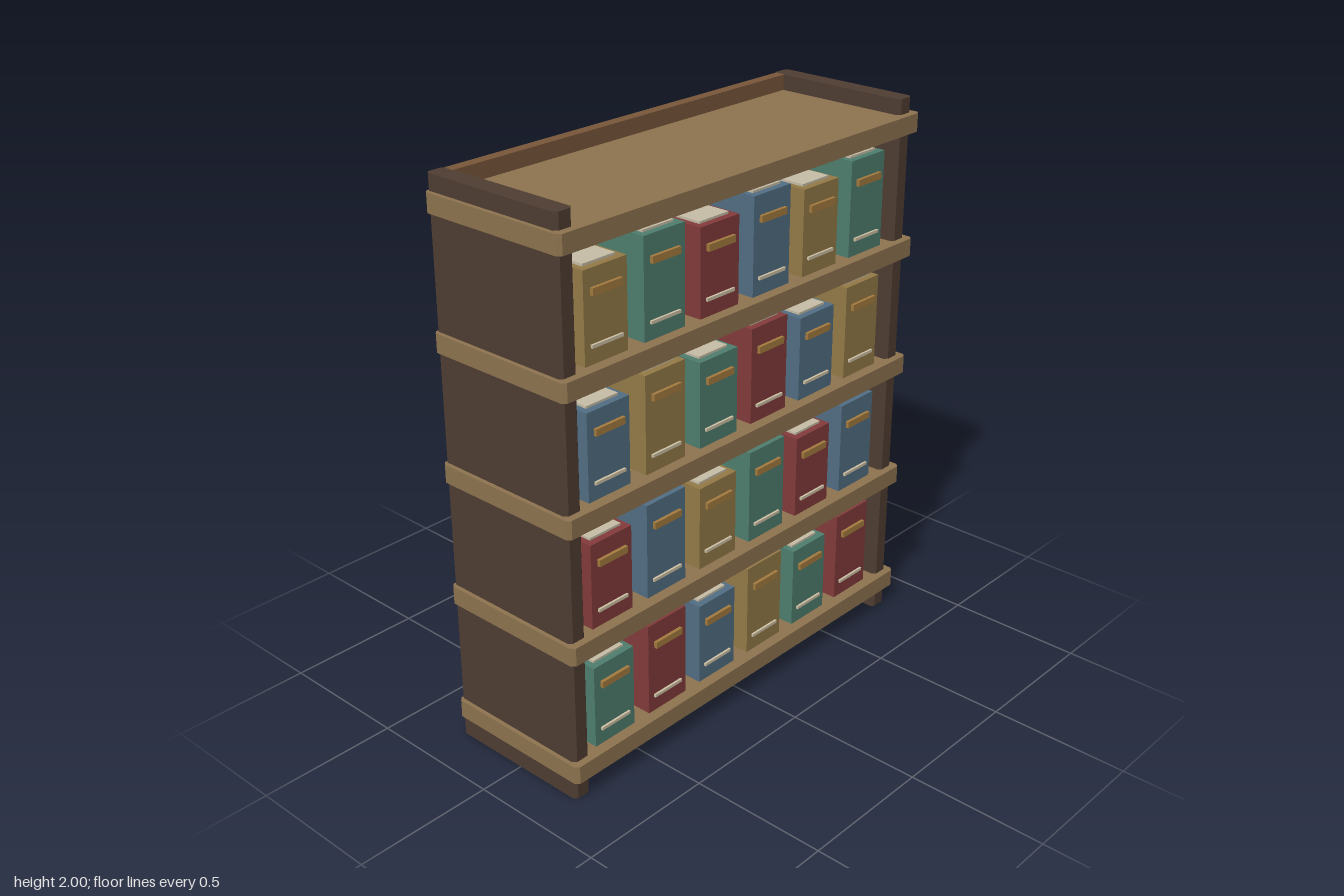
import * as THREE from 'three';

const mat = (color) => new THREE.MeshStandardMaterial({ color, flatShading: true });
const WOOD = mat(0x8f7450), POST = mat(0x4f3e32), PANEL = mat(0x7a583a);
const GOLD = mat(0xa57c3f), PALE = mat(0xcfc3a6), PAGES = mat(0xc9bfa8);
const COVERS = [0x853c3c, 0x527085, 0x967b48, 0x4f7f70].map(mat);

const BOARD_Y = [0.08, 0.53, 0.98, 1.43, 1.88];
const BOARD_H = 0.065;

function add(group, name, geometry, material, x, y, z) {
  const mesh = new THREE.Mesh(geometry, material);
  mesh.name = name;
  mesh.position.set(x, y, z);
  group.add(mesh);
  return mesh;
}

// Board with chamfered vertical edges, standing on its own y = 0
function chamferedBoard(w, h, d, c) {
  const x = w / 2, z = d / 2;
  const outline = new THREE.Shape([
    [x, -z + c], [x, z - c], [x - c, z], [-x + c, z],
    [-x, z - c], [-x, -z + c], [-x + c, -z], [x - c, -z],
  ].map(([a, b]) => new THREE.Vector2(a, b)));
  return new THREE.ExtrudeGeometry(outline, { depth: h, bevelEnabled: false }).rotateX(-Math.PI / 2);
}

// Book with cover, raised page block, title plate and lower band
function makeBook(height, cover) {
  const w = 0.18, d = 0.36, front = 0.25;
  const book = new THREE.Group();
  book.name = 'book';
  add(book, 'cover', new THREE.BoxGeometry(w, height, d), cover, 0, height / 2, front - d / 2);
  add(book, 'pages', new THREE.BoxGeometry(w - 0.045, 0.03, d - 0.05), PAGES, 0, height - 0.007, front - d / 2);
  add(book, 'titlePlate', new THREE.BoxGeometry(0.124, 0.024, 0.02), GOLD, 0, height * 0.765, front + 0.002);
  add(book, 'lowerBand', new THREE.BoxGeometry(0.13, 0.011, 0.016), PALE, 0, 0.06, front);
  return book;
}

export function createModel() {
  const model = new THREE.Group();
  model.name = 'bookcase';

  // Upright sides and back
  for (const s of [-1, 1]) {
    add(model, s > 0 ? 'leftSide' : 'rightSide', chamferedBoard(0.07, 2, 0.553, 0.012), POST, s * 0.8, 0, -0.0135);
  }
  add(model, 'backPanel', new THREE.BoxGeometry(1.54, 2, 0.04), PANEL, 0, 1, -0.264);

  // Shelves run past the sides and the front
  for (const y of BOARD_Y) {
    add(model, 'shelf', chamferedBoard(1.7, BOARD_H, 0.577, 0.013), WOOD, 0, y, 0.0015);
  }

  // Four rows of books, short and tall in turn
  for (let row = 0; row < 4; row++) {
    for (let col = 0; col < 6; col++) {
      const book = makeBook(col % 2 ? 0.34 : 0.302, COVERS[(row + col + 3) % 4]);
      book.position.set(-0.635 + col * 0.251, BOARD_Y[row] + BOARD_H, 0);
      model.add(book);
    }
  }
  return model;
}
